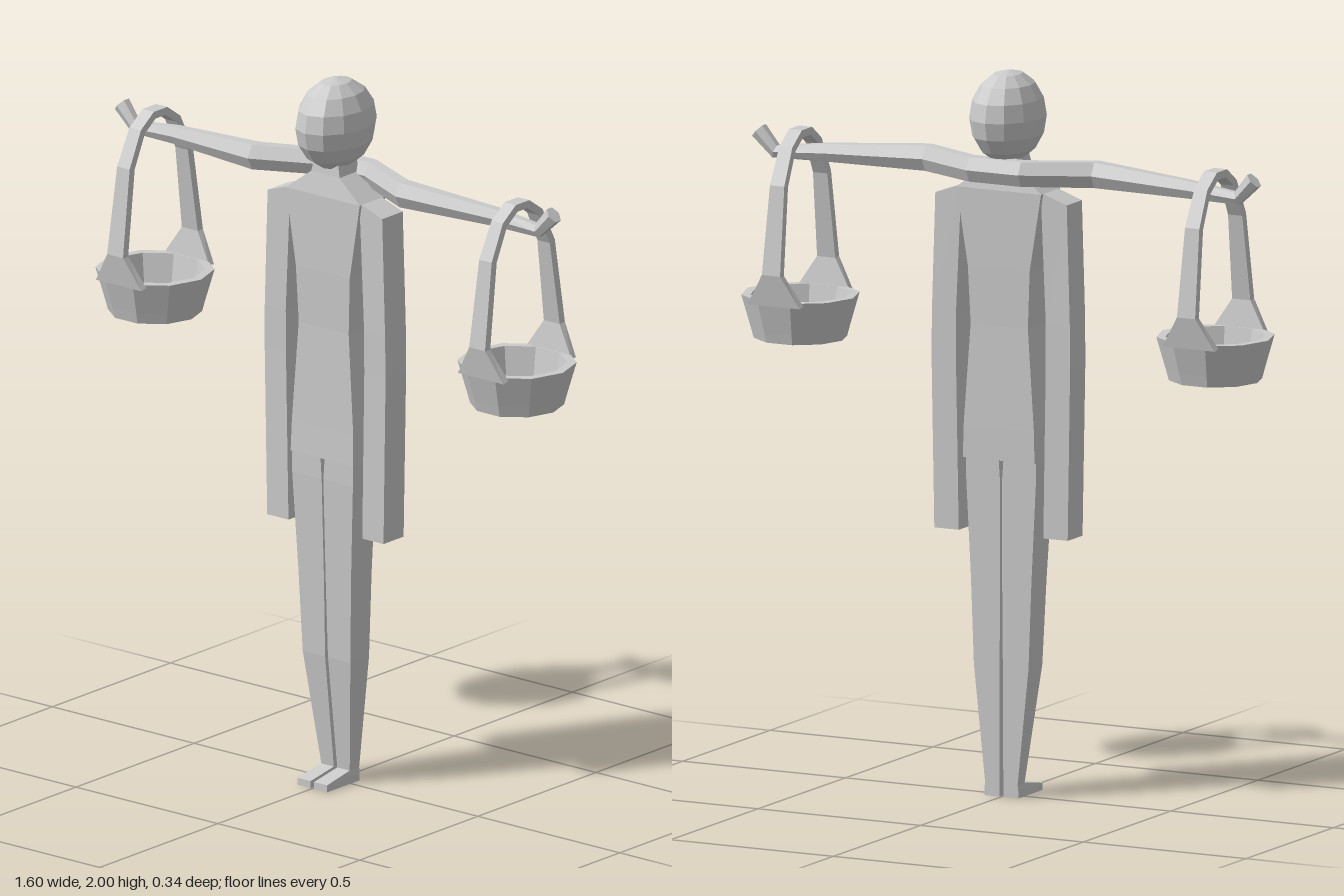
import * as THREE from 'three';

const material = new THREE.MeshStandardMaterial({ color: 0xcccccc, flatShading: true });

function addMesh(parent, name, geometry) {
  const mesh = new THREE.Mesh(geometry, material);
  mesh.name = name;
  parent.add(mesh);
  return mesh;
}

// Closed solid through rings of points, each counter-clockwise about the direction of travel
function loft(rings) {
  const pos = [];
  const tri = (a, b, c) => pos.push(...a, ...b, ...c);
  const n = rings[0].length;
  for (let i = 0; i < rings.length - 1; i++) {
    for (let j = 0; j < n; j++) {
      const k = (j + 1) % n;
      const a = rings[i][j], b = rings[i][k], c = rings[i + 1][k], d = rings[i + 1][j];
      tri(a, b, c);
      tri(a, c, d);
    }
  }
  const first = rings[0], last = rings[rings.length - 1];
  for (let j = 1; j < n - 1; j++) {
    tri(first[0], first[j + 1], first[j]);
    tri(last[0], last[j], last[j + 1]);
  }
  const geometry = new THREE.BufferGeometry();
  geometry.setAttribute('position', new THREE.Float32BufferAttribute(pos, 3));
  geometry.computeVertexNormals();
  return geometry;
}

// Four-sided limb from levels [y, xMin, xMax, zMin, zMax], bottom to top; side -1 mirrors it
function limb(levels, side = 1) {
  return loft(levels.map(([y, a, b, z0, z1]) => {
    const x0 = side > 0 ? a : -b;
    const x1 = side > 0 ? b : -a;
    return [[x1, y, z1], [x1, y, z0], [x0, y, z0], [x0, y, z1]];
  }));
}

// Hexagonal carrying pole, bent around the neck with upturned tips
function yokeGeometry() {
  // x, y, z, radius, tilt in degrees
  const half = [
    [0.08, 1.73, -0.058, 0.034, 0],
    [0.26, 1.73, 0.026, 0.035, 0],
    [0.56, 1.721, 0.0, 0.024, 0],
    [0.71, 1.711, -0.006, 0.018, 22],
    [0.761, 1.765, -0.008, 0.022, 45],
  ];
  const mirrored = half.map(([x, y, z, r, t]) => [-x, y, z, r, -t]).reverse();
  return loft([...mirrored, ...half].map(([x, y, z, r, tilt]) => {
    const t = THREE.MathUtils.degToRad(tilt);
    return Array.from({ length: 6 }, (_, j) => {
      const a = Math.PI / 6 + j * Math.PI / 3;
      const up = r * Math.cos(a) / Math.cos(Math.PI / 6);
      return [x - up * Math.sin(t), y + up * Math.cos(t), z + r * Math.sin(a)];
    });
  }));
}

// Flat arched handle that flares out where it meets the rim
function handleGeometry() {
  // y, z, half width
  const half = [
    [1.315, 0.143, 0.08],
    [1.40, 0.158, 0.028],
    [1.64, 0.123, 0.022],
    [1.735, 0.075, 0.02],
  ];
  const path = [...half, [1.77, 0.025, 0.02], [1.77, -0.025, 0.02],
    ...half.map(([y, z, w]) => [y, -z, w]).reverse()];
  const thick = 0.011;
  return loft(path.map(([y, z, w], i) => {
    const p = path[Math.max(i - 1, 0)], q = path[Math.min(i + 1, path.length - 1)];
    const dy = q[0] - p[0], dz = q[1] - p[1], len = Math.hypot(dy, dz);
    const ny = thick * dz / len, nz = -thick * dy / len;
    return [[w, y + ny, z + nz], [-w, y + ny, z + nz], [-w, y - ny, z - nz], [w, y - ny, z - nz]];
  }));
}

function bucketGeometry() {
  const profile = [[0, 1.205], [0.128, 1.205], [0.136, 1.235], [0.162, 1.325],
    [0.137, 1.325], [0.118, 1.23], [0, 1.23]].map(([r, y]) => new THREE.Vector2(r, y));
  return new THREE.LatheGeometry(profile, 10, Math.PI / 2);
}

export function createModel() {
  const model = new THREE.Group();
  model.name = 'waterCarrier';

  // Head
  const head = addMesh(model, 'head', new THREE.SphereGeometry(1, 12, 8));
  head.scale.set(0.097, 0.128, 0.132);
  head.position.set(0, 1.872, 0);

  // Torso with sloping shoulders and neck
  addMesh(model, 'torso', limb([
    [0.93, -0.11, 0.11, -0.053, 0.06],
    [1.02, -0.108, 0.108, -0.053, 0.057],
    [1.30, -0.088, 0.088, -0.05, 0.052],
    [1.46, -0.095, 0.095, -0.053, 0.056],
    [1.675, -0.13, 0.13, -0.053, 0.056],
    [1.735, -0.05, 0.05, -0.04, 0.045],
    [1.78, -0.04, 0.04, -0.035, 0.04],
  ]));

  for (const side of [1, -1]) {
    const label = side > 0 ? 'left' : 'right';

    // Arm, its top slanting down from the shoulder
    const arm = limb([
      [0.725, 0.13, 0.205, -0.04, 0.045],
      [1.20, 0.138, 0.213, -0.041, 0.046],
      [1.32, 0.138, 0.212, -0.041, 0.047],
      [1.66, 0.122, 0.202, -0.04, 0.047],
    ], side);
    const p = arm.attributes.position;
    for (let i = 0; i < p.count; i++) {
      if (p.getY(i) > 1.6) p.setY(i, Math.abs(p.getX(i)) > 0.16 ? 1.65 : 1.678);
    }
    arm.computeVertexNormals();
    addMesh(model, label + 'Arm', arm);

    // Leg and foot
    addMesh(model, label + 'Leg', limb([
      [0, 0.006, 0.052, -0.038, 0.1],
      [0.02, 0.006, 0.052, -0.038, 0.1],
      [0.037, 0.006, 0.05, -0.038, 0.002],
      [0.36, 0.005, 0.084, -0.039, 0.04],
      [0.60, 0.003, 0.093, -0.039, 0.048],
      [0.87, 0.003, 0.107, -0.04, 0.057],
      [0.94, 0.008, 0.108, -0.04, 0.057],
    ], side));

    // Bucket hanging from the yoke
    const pail = new THREE.Group();
    pail.name = label + 'Bucket';
    pail.position.x = side * 0.638;
    addMesh(pail, 'bucket', bucketGeometry());
    addMesh(pail, 'handle', handleGeometry());
    model.add(pail);
  }

  addMesh(model, 'yoke', yokeGeometry());
  return model;
}
